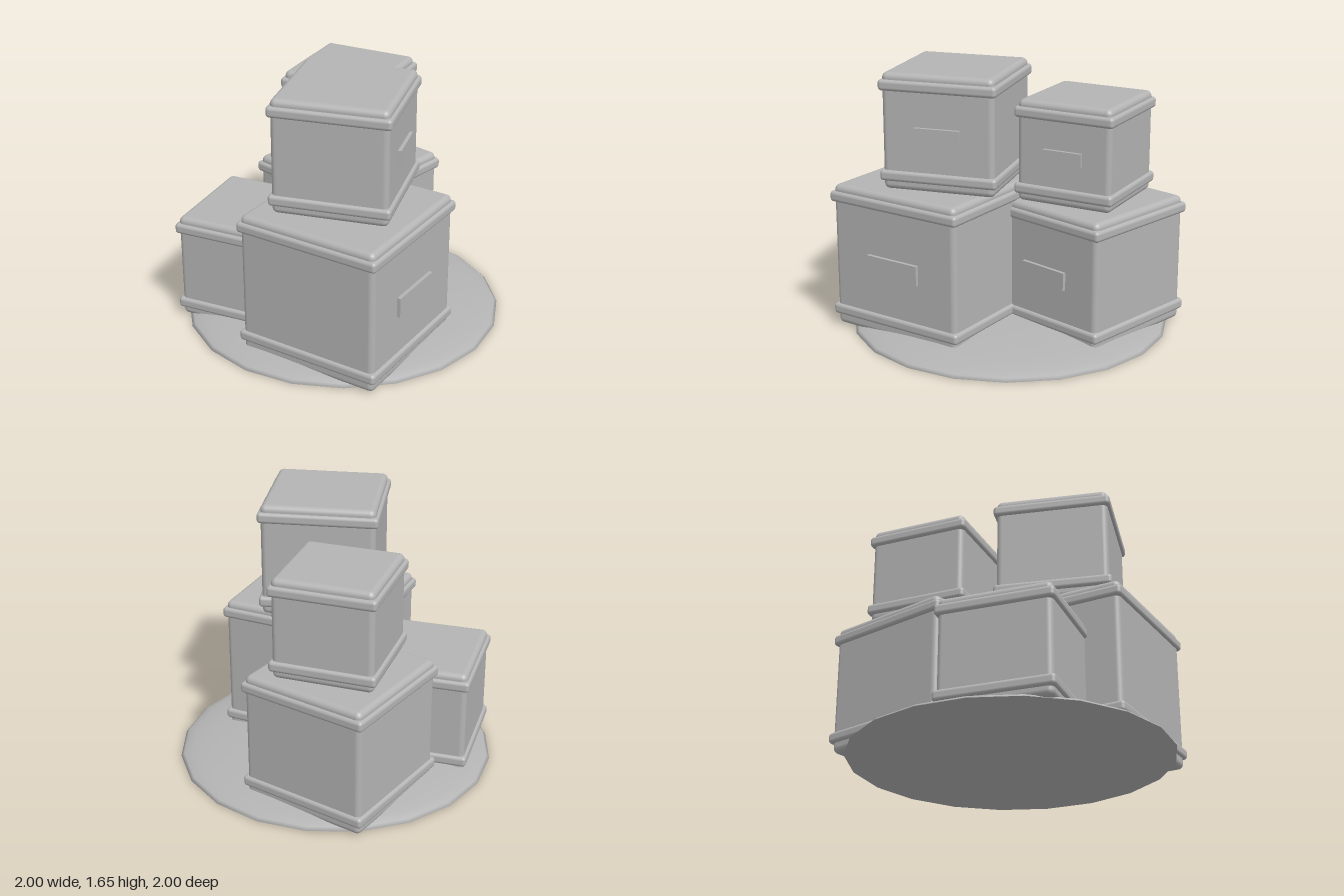
import * as THREE from 'three';
import { RoundedBoxGeometry } from 'three/addons/geometries/RoundedBoxGeometry.js';

const grey = new THREE.MeshStandardMaterial({ color: 0xb4b4b4 });
grey.name = 'plain grey';

function addMesh(parent, name, geometry, x = 0, y = 0, z = 0) {
  const mesh = new THREE.Mesh(geometry, grey);
  mesh.name = name;
  mesh.position.set(x, y, z);
  parent.add(mesh);
  return mesh;
}

// One crate: rounded body, a rim near the top and bottom, a label on the front
function makeCrate({ name, x, z, turn, size, bottom, top }) {
  const crate = new THREE.Group();
  crate.name = name;
  crate.position.set(x, bottom, z);
  crate.rotation.y = turn;
  const height = top - bottom;
  const rim = size + 0.036;

  addMesh(crate, 'body', new RoundedBoxGeometry(size, height, size, 4, 0.035), 0, height / 2, 0);
  addMesh(crate, 'lowerRim', new RoundedBoxGeometry(rim, 0.068, rim, 4, 0.022), 0, 0.1 * Math.sqrt(size / 0.82) - 0.005, 0);
  addMesh(crate, 'upperRim', new RoundedBoxGeometry(rim, 0.068, rim, 4, 0.022), 0, height - 0.076, 0);
  addMesh(crate, 'label', new THREE.BoxGeometry(size * 0.41, size * 0.138, 0.03), 0, height / 2 - 0.008, size / 2 + 0.007);
  return crate;
}

export function createModel() {
  const model = new THREE.Group();
  model.name = 'crateStack';

  // Low mound with a flat underside
  const dome = new THREE.SphereGeometry(1, 20, 8, 0, Math.PI * 2, 0, Math.PI / 2);
  dome.scale(1, 0.09, 1);
  addMesh(model, 'moundTop', dome);
  addMesh(model, 'moundUnderside', new THREE.CircleGeometry(1, 20)).rotation.x = Math.PI / 2;

  // Three crates on the mound, two stacked on top
  const crates = [
    { name: 'frontLeftCrate', x: -0.35, z: 0.285, turn: 0.058, size: 0.92, bottom: 0.015, top: 0.93 },
    { name: 'rightCrate', x: 0.425, z: -0.26, turn: -0.118, size: 0.82, bottom: 0.015, top: 0.83 },
    { name: 'backCrate', x: -0.32, z: -0.47, turn: 0.2, size: 0.69, bottom: 0.005, top: 0.695 },
    { name: 'upperLeftCrate', x: -0.257, z: 0.203, turn: 0.345, size: 0.705, bottom: 0.93, top: 1.65 },
    { name: 'upperRightCrate', x: 0.4, z: -0.235, turn: 0.155, size: 0.62, bottom: 0.84, top: 1.475 },
  ];
  for (const crate of crates) model.add(makeCrate(crate));
  return model;
}
